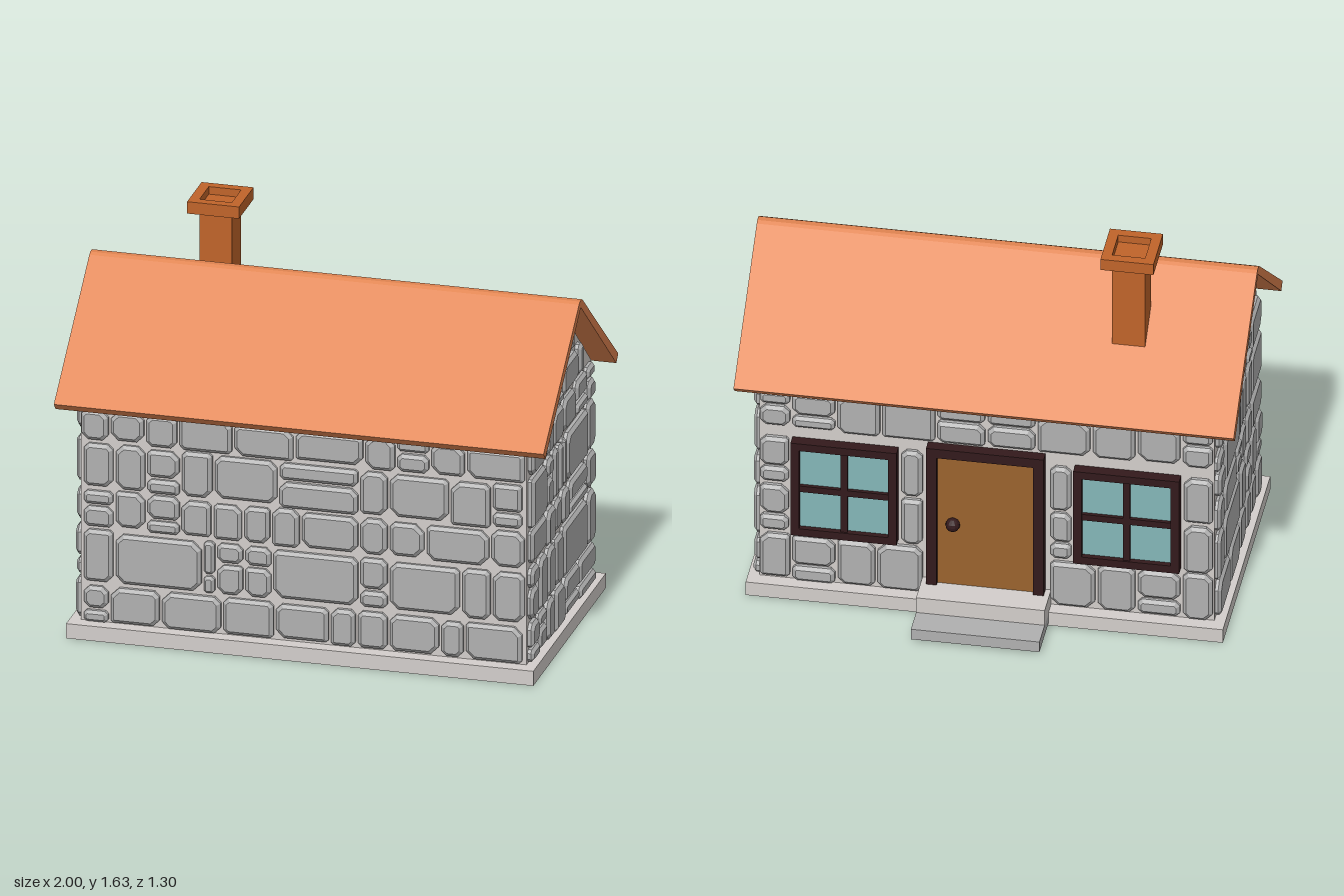
import * as THREE from 'three';
import { mergeGeometries } from 'three/addons/utils/BufferGeometryUtils.js';

const mat = (color) => new THREE.MeshStandardMaterial({ color, flatShading: true });
const STONE = mat(0xb0b0b0), ROOF = mat(0xe08450), BRICK = mat(0xc0642a);
const WOOD = mat(0x9a632e), TRIM = mat(0x331a1c), GLASS = mat(0x84b6b8);
const MORTAR = mat(0xd3cecb);
MORTAR.side = THREE.DoubleSide;

// wall planes and the ridge
const X = 0.91, ZF = 0.575, ZB = -0.385, RIDGE = 0.095, EAVE = 0.985;

let seed = 7;
const rand = () => (seed = (seed * 16807) % 2147483647) / 2147483647;

function add(parent, name, geometry, material, x = 0, y = 0, z = 0) {
  const mesh = new THREE.Mesh(geometry, material);
  mesh.name = name;
  mesh.position.set(x, y, z);
  parent.add(mesh);
  return mesh;
}

// box given by its limits
function block(parent, name, material, x0, x1, y0, y1, z0, z1) {
  return add(parent, name, new THREE.BoxGeometry(x1 - x0, y1 - y0, z1 - z0), material,
    (x0 + x1) / 2, (y0 + y1) / 2, (z0 + z1) / 2);
}

const polygon = (points) => new THREE.Shape(points.map(([x, y]) => new THREE.Vector2(x, y)));
const rectangle = (w, h) => [[-w / 2, -h / 2], [w / 2, -h / 2], [w / 2, h / 2], [-w / 2, h / 2]];

// flat rectangular ring lying on y = 0
function ring(w, d, innerW, innerD, height) {
  const shape = polygon(rectangle(w, d));
  shape.holes.push(polygon(rectangle(innerW, innerD)));
  return new THREE.ExtrudeGeometry(shape, { depth: height, bevelEnabled: false }).rotateX(-Math.PI / 2);
}

// one chamfered stone with unevenly cut corners, straddling the wall plane
function stone(x0, x1, y0, y1) {
  const most = Math.min(x1 - x0, y1 - y0) * 0.25;
  const [a, b, c, d] = [0, 0, 0, 0].map(() => Math.min(most, 0.008 + rand() * 0.028));
  const shape = polygon([[x0 + a, y0], [x1 - b, y0], [x1, y0 + b], [x1, y1 - c],
    [x1 - c, y1], [x0 + d, y1], [x0, y1 - d], [x0, y0 + a]]);
  const bevel = Math.min(0.014, most);
  return new THREE.ExtrudeGeometry(shape, {
    depth: 0.016, bevelSize: bevel, bevelOffset: -bevel, bevelThickness: 0.012, bevelSegments: 1,
  }).translate(0, 0, -0.006 + rand() * 0.005);
}

// stones of all courses; each course is [bottom, top, joints]
function masonry(courses, sign) {
  const stones = [];
  for (const [y0, y1, joints] of courses) {
    for (let i = 0; i + 1 < joints.length; i++) {
      const a = sign * joints[i], b = sign * joints[i + 1];
      const x0 = Math.min(a, b) + 0.006, x1 = Math.max(a, b) - 0.006;
      const low = y0 + rand() * 0.012, high = y1 - rand() * 0.012;
      if (high - low > 0.13 && rand() < 0.3) {
        const cut = low + (high - low) * (rand() < 0.5 ? 0.35 : 0.6);
        stones.push(stone(x0, x1, low, cut - 0.006), stone(x0, x1, cut + 0.006, high));
      } else stones.push(stone(x0, x1, low, high));
    }
  }
  return mergeGeometries(stones);
}

// wall facing its own +z: a mortar sheet with stones
function wall(parent, name, outline, courses, sign = 1) {
  const group = new THREE.Group();
  group.name = name;
  add(group, name + 'Mortar', new THREE.ShapeGeometry(polygon(outline.map(([u, y]) => [u * sign, y]))), MORTAR);
  add(group, name + 'Stones', masonry(courses, sign), STONE);
  parent.add(group);
  return group;
}

const FRONT = [
  [0.065, 0.225, [-0.9, -0.79, -0.58, -0.33, -0.115, 0.11, 0.22, 0.35, 0.56, 0.66, 0.9]],
  [0.235, 0.455, [-0.9, -0.77, -0.41, -0.355, -0.24, -0.125, 0.23, 0.35, 0.645, 0.77, 0.91]],
  [0.465, 0.625, [-0.9, -0.77, -0.64, -0.5, -0.37, -0.245, -0.13, -0.01, 0.23, 0.35, 0.5, 0.765, 0.91]],
  [0.63, 0.825, [-0.9, -0.77, -0.64, -0.5, -0.365, -0.1, 0.23, 0.35, 0.6, 0.77, 0.9]],
  [0.83, 0.97, [-0.91, -0.79, -0.645, -0.51, -0.285, -0.035, 0.25, 0.38, 0.52, 0.665, 0.91]],
];
const GABLE = [
  [0.06, 0.235, [0.57, 0.45, 0.33, 0.22, 0.075, -0.14, -0.38]],
  [0.24, 0.46, [0.57, 0.45, 0.33, 0.215, 0.09, -0.26, -0.38]],
  [0.47, 0.62, [0.56, 0.34, 0.22, 0.11, 0, -0.265, -0.385]],
  [0.63, 0.84, [0.56, 0.34, 0.24, 0.165, 0.1, 0.05, -0.265, -0.385]],
  [0.85, 1.0, [0.56, 0.34, 0.24, 0.09, -0.1, -0.265, -0.37]],
  [1.01, 1.15, [0.38, 0.24, 0.1, -0.13, -0.2]],
  [1.16, 1.265, [0.25, 0.18, 0.1, -0.01, -0.07]],
  [1.27, 1.34, [0.16, 0.03]],
];
// right half of the entrance wall, leaving room for door and window
const ENTRANCE = [
  [0.065, 0.285, [0.25, 0.44, 0.6, 0.78, 0.91]],
  [0.29, 0.51, [0.25, 0.345]], [0.29, 0.51, [0.785, 0.91]],
  [0.52, 0.74, [0.25, 0.345]], [0.52, 0.74, [0.785, 0.91]],
  [0.79, 0.97, [0, 0.2, 0.42, 0.6, 0.78, 0.91]],
];

// rectangular trim frame on the entrance wall
function frame(parent, name, x0, x1, y0, y1, t, sill = true) {
  const z0 = -0.432, z1 = -0.375;
  block(parent, name + 'Side', TRIM, x0, x0 + t, y0, y1, z0, z1);
  block(parent, name + 'Side', TRIM, x1 - t, x1, y0, y1, z0, z1);
  block(parent, name + 'Top', TRIM, x0 + t, x1 - t, y1 - t, y1, z0, z1);
  if (sill) block(parent, name + 'Sill', TRIM, x0 + t, x1 - t, y0, y0 + t, z0, z1);
}

export function createModel() {
  const house = new THREE.Group();
  house.name = 'stoneCottage';

  // open footing under the walls
  add(house, 'foundation', ring(1.908, 1.078, 1.8, 0.95, 0.062), MORTAR, 0, 0, RIDGE);

  // walls
  const long = [[-X, 0.03], [X, 0.03], [X, EAVE], [-X, EAVE]];
  const gable = [[ZB, 0.03], [ZF, 0.03], [ZF, EAVE], [RIDGE, 1.4], [ZB, EAVE]];
  wall(house, 'frontWall', long, FRONT).position.z = ZF;
  const back = wall(house, 'backWall', long, ENTRANCE);
  add(back, 'backWallStones', masonry(ENTRANCE, -1), STONE);
  back.rotation.y = Math.PI;
  back.position.z = ZB;
  for (const side of [1, -1]) {
    const end = wall(house, side > 0 ? 'leftGable' : 'rightGable', gable, GABLE, -side);
    end.rotation.y = side * Math.PI / 2;
    end.position.x = side * X;
  }

  // roof: folded slab with a softened ridge
  const slab = polygon([[0.65, 0.993], [0.122, 1.424], [0.108, 1.432], [0.082, 1.432], [0.068, 1.424],
    [-0.46, 0.993], [-0.432, 0.963], [RIDGE, 1.402], [0.622, 0.963]]);
  add(house, 'roof', new THREE.ExtrudeGeometry(slab, { depth: 2, bevelEnabled: false })
    .translate(0, 0, -1).rotateY(-Math.PI / 2), ROOF);

  // chimney with a hollow cap
  block(house, 'chimneyShaft', BRICK, -0.6, -0.468, 1.12, 1.6, -0.198, -0.06);
  add(house, 'chimneyCap', ring(0.212, 0.216, 0.132, 0.138, 0.05), BRICK, -0.534, 1.582, -0.129);

  // door
  frame(house, 'doorFrame', -0.235, 0.235, 0.13, 0.78, 0.042, false);
  block(house, 'door', WOOD, -0.193, 0.193, 0.13, 0.738, -0.412, -0.375);
  add(house, 'doorKnob', new THREE.SphereGeometry(0.029, 12, 8), TRIM, 0.13, 0.42, -0.422);

  // windows with four panes each
  for (const x of [-0.565, 0.565]) {
    frame(house, 'windowFrame', x - 0.212, x + 0.212, 0.3, 0.74, 0.034);
    block(house, 'windowGlass', GLASS, x - 0.18, x + 0.18, 0.33, 0.71, -0.41, -0.375);
    block(house, 'windowMullion', TRIM, x - 0.014, x + 0.014, 0.334, 0.706, -0.425, -0.4);
    block(house, 'windowCrossbar', TRIM, x - 0.178, x + 0.178, 0.506, 0.534, -0.425, -0.4);
  }

  // entrance steps
  block(house, 'upperStep', MORTAR, -0.257, 0.257, 0.055, 0.13, -0.532, -0.38);
  block(house, 'lowerStep', STONE, -0.257, 0.257, 0.012, 0.06, -0.65, -0.43);

  return house;
}
